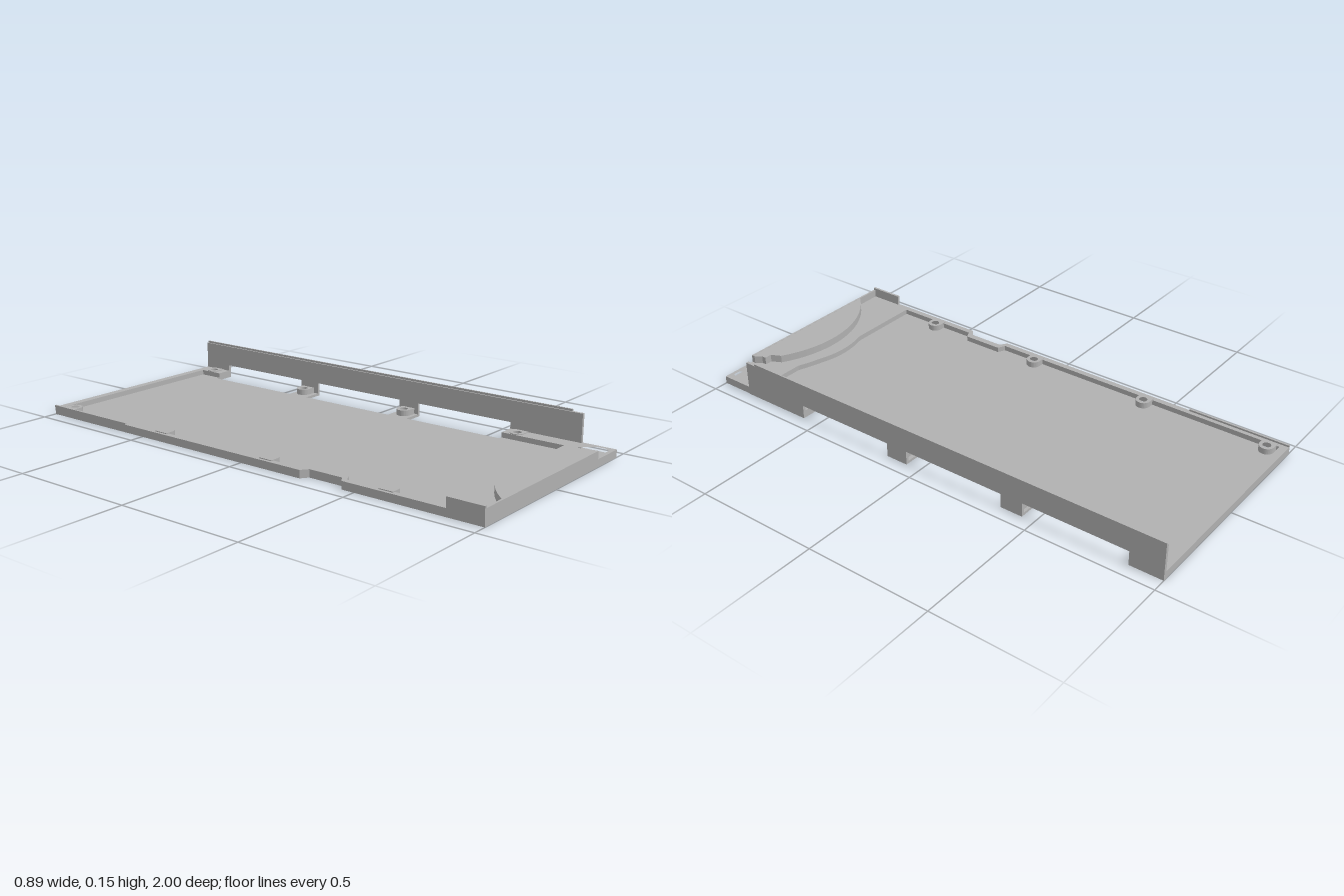
import * as THREE from 'three';

export function createModel() {
  const model = new THREE.Group();
  model.name = 'trayCover';
  const grey = new THREE.MeshStandardMaterial({ color: 0xb0b0b0 });
  grey.name = 'plain grey';

  const add = (name, geometry) => {
    const mesh = new THREE.Mesh(geometry, grey);
    mesh.name = name;
    model.add(mesh);
    return mesh;
  };
  const toVectors = (pts) => pts.map(([x, z]) => new THREE.Vector2(x, -z));
  const circle = (x, z, r, n = 24) => Array.from({ length: n }, (_, i) => {
    const a = (i / n) * Math.PI * 2;
    return [x + r * Math.cos(a), z + r * Math.sin(a)];
  });
  // Points on a shallow arc between two x positions, peaking towards the back
  const arc = (x0, x1, zEnd, zPeak, n = 20) => {
    const half = (x1 - x0) / 2, rise = zEnd - zPeak;
    const r = (half * half + rise * rise) / (2 * rise);
    return Array.from({ length: n + 1 }, (_, i) => {
      const d = -half + (2 * half * i) / n;
      return [x0 + half + d, zPeak + r - Math.sqrt(r * r - d * d)];
    });
  };
  // Horizontal slab from an x/z outline
  const slab = (name, pts, y0, y1, holes = []) => {
    const shape = new THREE.Shape(toVectors(pts));
    holes.forEach((h) => shape.holes.push(new THREE.Path(toVectors(h))));
    const g = new THREE.ExtrudeGeometry(shape, { depth: y1 - y0, bevelEnabled: false });
    g.rotateX(-Math.PI / 2);
    g.translate(0, y0, 0);
    return add(name, g);
  };
  const box = (name, x0, x1, y0, y1, z0, z1) => {
    const g = new THREE.BoxGeometry(x1 - x0, y1 - y0, z1 - z0);
    g.translate((x0 + x1) / 2, (y0 + y1) / 2, (z0 + z1) / 2);
    return add(name, g);
  };

  const W = 0.443, FLOOR = 0.01, RIM = 0.03;
  const screwZ = [-0.93, -0.41, 0.105, 0.62];
  const windows = [[-0.87, -0.45], [-0.36, 0.06], [0.15, 0.57]];
  const notch = [[-W, 0.45], [-0.415, 0.43], [-0.415, 0.29], [-W, 0.27]];
  const screws = screwZ.flatMap((z) => [[-0.4, z], [0.4, z]]);

  // Underside scoop and corner pocket
  const scoop = arc(-0.16, 0.18, 0.955, 0.91);
  const pocket = [[0.26, 0.86], [0.36, 0.86], [0.425, 0.93], [0.425, 0.965],
    [0.41, 0.985], [0.385, 0.985], [0.34, 0.94], [0.3, 0.9], [0.26, 0.875]];

  // Thin floor with three openings along the tall side
  const cuts = windows.flatMap(([a, b]) => [[W, a], [0.355, a], [0.355, b], [W, b]]);
  slab('floor', [[W, 1], [-W, 1], ...notch, [-W, -1], [W, -1], ...cuts], 0, FLOOR,
    [...screws.map(([x, z]) => circle(x, z, 0.026)), scoop]);

  // Rim on three sides, joined to the front deck
  slab('rimAndDeck', [
    [W, 1], [-W, 1], ...notch, [-W, -1], [W, -1], [W, -0.87], [0.37, -0.87], [0.37, -0.97],
    [-0.42, -0.97], [-0.42, 0.265], [-0.39, 0.28], [-0.39, 0.44], [-0.42, 0.455],
    [-0.42, 0.8], [-0.13, 0.8], ...arc(-0.11, 0.11, 0.798, 0.78, 10),
    [0.17, 0.815], [0.21, 0.83], [0.37, 0.83], [0.37, 0.57], [W, 0.57],
  ], FLOOR, RIM, [circle(0.4, -0.93, 0.017), circle(0.4, 0.62, 0.017), scoop, pocket]);

  // U-shaped screw bosses
  screws.forEach(([x, z]) => {
    const s = Math.sign(x), r = 0.029;
    const pts = [[s * 0.431, z - r]];
    for (let i = 0; i <= 14; i++) {
      const a = -Math.PI / 2 + (i / 14) * Math.PI;
      pts.push([x - s * r * Math.cos(a), z + r * Math.sin(a)]);
    }
    pts.push([s * 0.431, z + r]);
    slab('screwBoss', pts, FLOOR - 0.003, RIM + 0.003, [circle(x, z, 0.016)]);
  });

  // Raised front block with curved back
  slab('frontBlock', [[-0.34, 0.999], ...arc(-0.33, 0.33, 0.985, 0.838).filter(([x]) => x < 0.24),
    [0.25, 0.942], [0.28, 0.942], [0.28, 0.96], [0.298, 0.985], [0.298, 0.999]], RIM, 0.06);
  box('frontWall', -W, 0.298, RIM, 0.0605, 0.992, 1);

  // Tall side wall, standing on tabs between the openings
  const outline = [[-1, 0], [-1, 0.14], [0.865, 0.14], [0.865, 0]];
  [...windows].reverse().forEach(([a, b]) => outline.push([b, 0], [b, 0.055], [a, 0.055], [a, 0]));
  const wall = new THREE.ExtrudeGeometry(
    new THREE.Shape(outline.map(([z, y]) => new THREE.Vector2(z, y))),
    { depth: 0.012, bevelEnabled: false });
  wall.rotateY(-Math.PI / 2);
  wall.translate(0.445, 0, 0);
  add('sideWall', wall);
  box('sideWallLip', 0.439, 0.445, 0.14, 0.148, -1, 0.82);

  // Small lips on the low side
  box('frontCornerLip', -0.445, -0.435, RIM, 0.069, 0.86, 1);
  box('rearLip', -0.445, -0.437, RIM, 0.037, -1, -0.59);

  return model;
}
